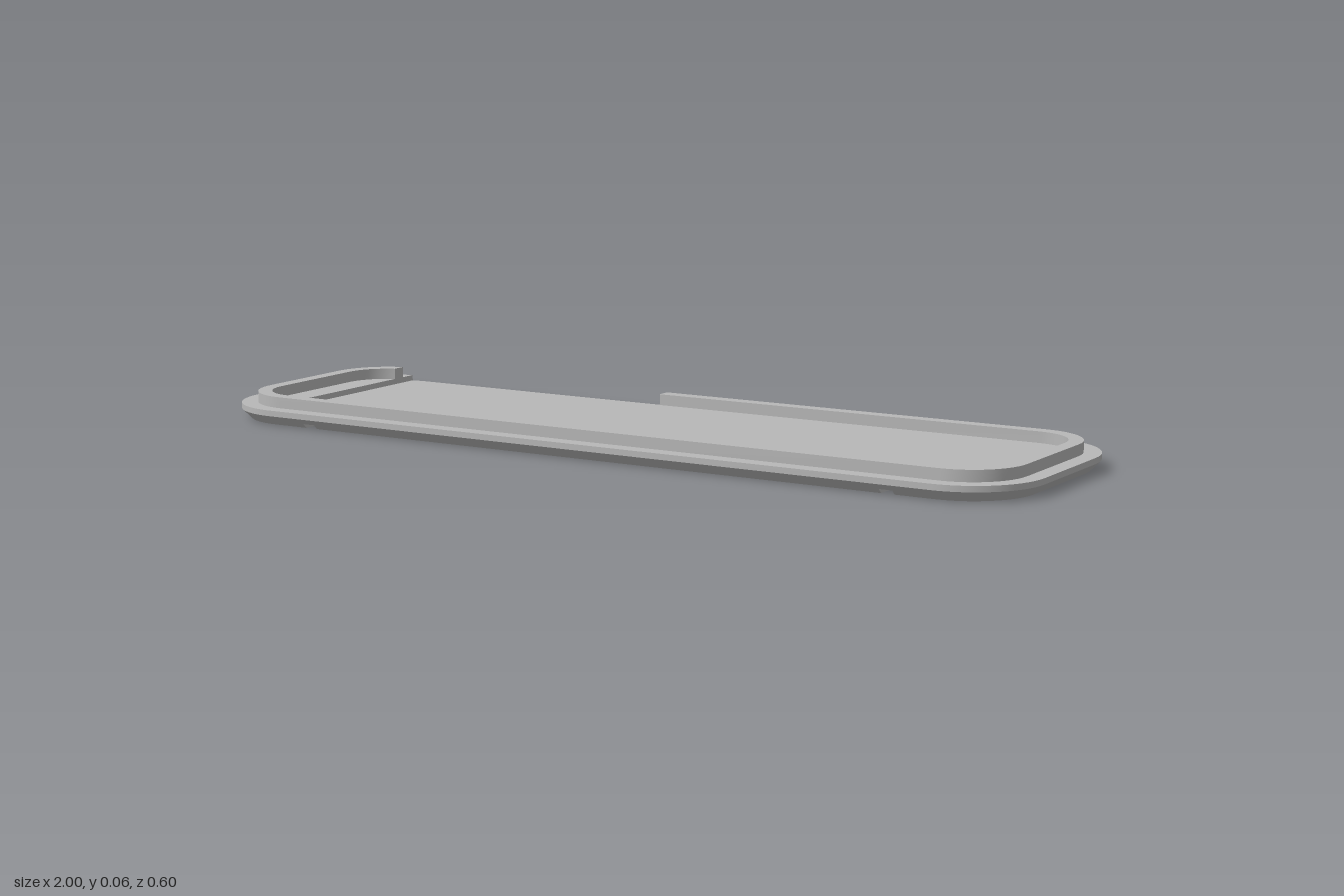
import * as THREE from 'three';
import { toCreasedNormals } from 'three/addons/utils/BufferGeometryUtils.js';

// Plan coordinates: x to the right, v towards the back (v = -z).
const HALF_X = 1, HALF_V = 0.3, RADIUS = 0.17, STEPS = 14;
const CUT_L = -0.865, CUT_R = -0.115, CUT_FRONT = -0.155;
const P = (x, v) => new THREE.Vector2(x, v);

// One rounded corner of the inset outline, counter-clockwise (0 = right back)
function corner(i, inset) {
  const cx = (HALF_X - RADIUS) * (i === 0 || i === 3 ? 1 : -1);
  const cv = (HALF_V - RADIUS) * (i < 2 ? 1 : -1);
  const r = RADIUS - inset;
  return Array.from({ length: STEPS + 1 }, (_, k) => {
    const a = (i + k / STEPS) * Math.PI / 2;
    return P(cx + r * Math.cos(a), cv + r * Math.sin(a));
  });
}

// Full outline, optionally with two slots in each long edge
function closedOutline(inset, slots) {
  const slotEdge = (s) => [0.742, -0.712].flatMap((x) => [
    P(s * x, s * (HALF_V - inset)), P(s * x, s * 0.2),
    P(s * (x - 0.03), s * 0.2), P(s * (x - 0.03), s * (HALF_V - inset)),
  ]);
  return [
    ...corner(0, inset), ...(slots ? slotEdge(1) : []), ...corner(1, inset),
    ...corner(2, inset), ...(slots ? slotEdge(-1) : []), ...corner(3, inset),
  ];
}

// Outline interrupted at the back by the rectangular cut
function openOutline(inset) {
  const dx = CUT_L + HALF_X - RADIUS, r = RADIUS - inset;
  return [
    P(CUT_L, HALF_V - RADIUS + Math.sqrt(r * r - dx * dx)),
    ...corner(1, inset).filter((p) => p.x < CUT_L - 0.001),
    ...corner(2, inset), ...corner(3, inset), ...corner(0, inset),
    P(CUT_R, HALF_V - inset),
  ];
}

// Solid between two matching loops, with optional caps
function loft(low, y0, high, y1, bottomCap, topCap) {
  const pos = [];
  const put = (p, y) => pos.push(p.x, y, -p.y);
  low.forEach((a, i) => {
    const j = (i + 1) % low.length, b = low[j], c = high[j], d = high[i];
    put(a, y0); put(b, y0); put(c, y1);
    put(a, y0); put(c, y1); put(d, y1);
  });
  const cap = (loop, y, up) => {
    for (const [a, b, c] of THREE.ShapeUtils.triangulateShape(loop, [])) {
      const ccw = (loop[b].x - loop[a].x) * (loop[c].y - loop[a].y)
        - (loop[b].y - loop[a].y) * (loop[c].x - loop[a].x) > 0;
      for (const k of ccw === up ? [a, b, c] : [a, c, b]) put(loop[k], y);
    }
  };
  if (bottomCap) cap(low, y0, false);
  if (topCap) cap(high, y1, true);
  const g = new THREE.BufferGeometry();
  g.setAttribute('position', new THREE.Float32BufferAttribute(pos, 3));
  return toCreasedNormals(g, 0.5);
}

export function createModel() {
  const group = new THREE.Group();
  group.name = 'trayLid';
  const grey = new THREE.MeshStandardMaterial({ color: 0xb8b8b8 });
  grey.name = 'grey';
  const add = (name, geometry) => {
    const mesh = new THREE.Mesh(geometry, grey);
    mesh.name = name;
    group.add(mesh);
  };

  // Bevelled underside with four small slots
  add('slottedUnderside', loft(closedOutline(0.022, true), 0, closedOutline(0.012, true), 0.01, true, false));
  // Upper bevel; its top is the floor of the recess
  add('bevelledBase', loft(closedOutline(0.012), 0.01, closedOutline(0), 0.022, true, true));
  // Deck plate with the rectangular recess open to the back
  const deck = [...openOutline(0), P(CUT_R, CUT_FRONT), P(CUT_L, CUT_FRONT)];
  add('deck', loft(deck, 0.022, deck, 0.035, false, true));
  // Raised rim, interrupted at the recess
  const rim = [...openOutline(0.038), ...openOutline(0.07).reverse()];
  add('raisedRim', loft(rim, 0.035, rim, 0.06, false, true));

  return group;
}
